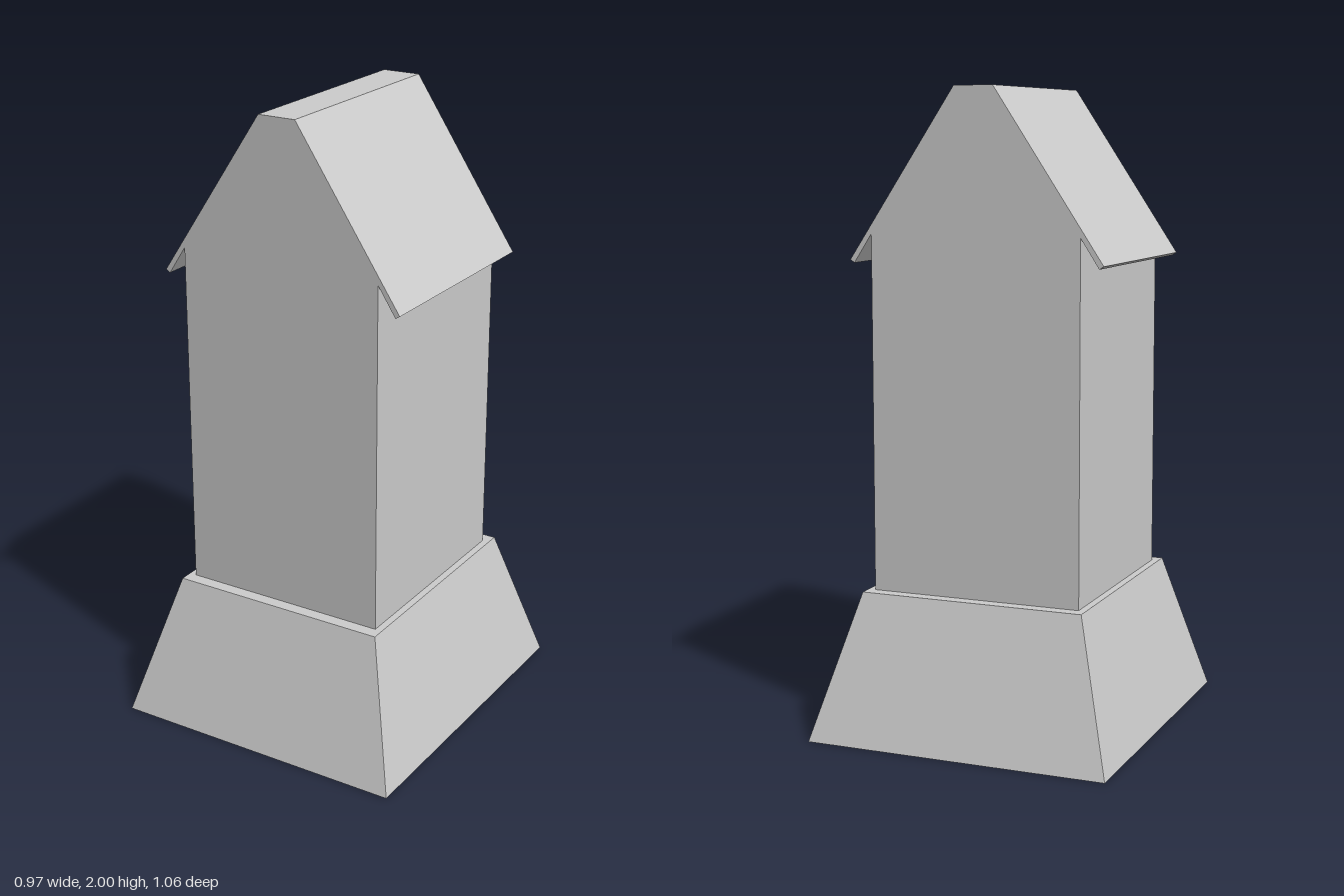
import * as THREE from 'three';

const material = new THREE.MeshStandardMaterial({
  color: 0xcccccc, flatShading: true, side: THREE.DoubleSide,
});

// Flat quads joining successive cross-sections, each a list of [x, y, z]
function loft(sections, closed) {
  const pos = [];
  for (let s = 0; s < sections.length - 1; s++) {
    const a = sections[s], b = sections[s + 1], n = a.length;
    for (let i = 0; i < (closed ? n : n - 1); i++) {
      const j = (i + 1) % n;
      pos.push(...a[i], ...a[j], ...b[j], ...a[i], ...b[j], ...b[i]);
    }
  }
  const geo = new THREE.BufferGeometry();
  geo.setAttribute('position', new THREE.Float32BufferAttribute(pos, 3));
  geo.computeVertexNormals();
  return geo;
}

// Counter-clockwise rectangle seen from above
const ring = (x, y, z) => [[-x, y, z], [x, y, z], [x, y, -z], [-x, y, -z]];

export function createModel() {
  const group = new THREE.Group();
  const add = (name, geo) => {
    const mesh = new THREE.Mesh(geo, material);
    mesh.name = name;
    group.add(mesh);
    return mesh;
  };

  const floorY = 0.455, wallX = 0.337, depth = 0.353;

  // Hollow flared plinth with a narrow ledge around the tower
  add('plinth', loft([
    ring(0.485, 0, 0.531),
    ring(0.36, floorY, 0.394),
    ring(wallX, floorY, depth),
  ], true));

  // Tower outline: wall, thin overhanging eave, slope and flat ridge, mirrored
  const half = [[wallX, floorY], [wallX, 1.56], [0.395, 1.471], [0.409, 1.48], [0.062, 2]];
  const outline = [...half, ...half.map(([x, y]) => [-x, y]).reverse()];

  // Walls and roof as one skin, left open underneath
  const at = (z) => outline.map(([x, y]) => [x, y, z]);
  add('wallsAndRoof', loft([at(depth), at(-depth)], false));

  // Gabled end walls
  const gable = new THREE.ShapeGeometry(
    new THREE.Shape(outline.map(([x, y]) => new THREE.Vector2(x, y))));
  add('frontGable', gable).position.z = depth;
  const back = add('backGable', gable);
  back.position.z = -depth;
  back.rotation.y = Math.PI;

  return group;
}
